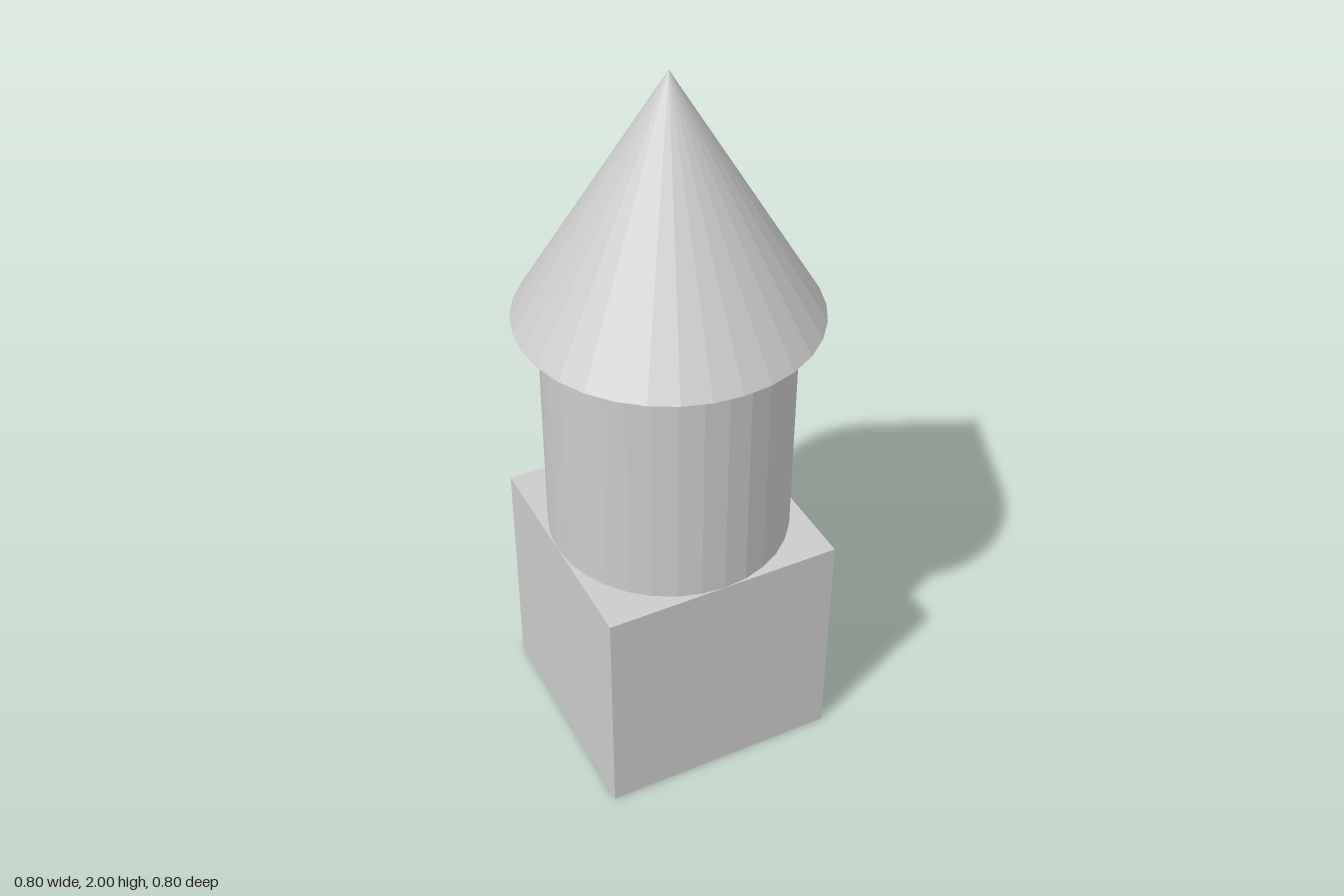
import * as THREE from 'three';

export function createModel() {
  const model = new THREE.Group();
  const material = new THREE.MeshStandardMaterial({ color: 0xcccccc, flatShading: true });
  const SIDES = 32;
  const baseTop = 0.667, shaftTop = 1.34, peak = 2;

  // Adds a part that spans the heights from bottom to top
  function addPart(name, geometry, bottom, top) {
    const mesh = new THREE.Mesh(geometry, material);
    mesh.name = name;
    mesh.position.y = (bottom + top) / 2;
    model.add(mesh);
  }

  // Square base
  addPart('base', new THREE.BoxGeometry(0.665, baseTop, 0.665), 0, baseTop);

  // Round tower shaft, as wide as the base
  addPart('shaft', new THREE.CylinderGeometry(0.332, 0.332, shaftTop - baseTop, SIDES), baseTop, shaftTop);

  // Pointed roof overhanging the shaft
  addPart('roof', new THREE.ConeGeometry(0.399, peak - shaftTop, SIDES), shaftTop, peak);

  return model;
}
